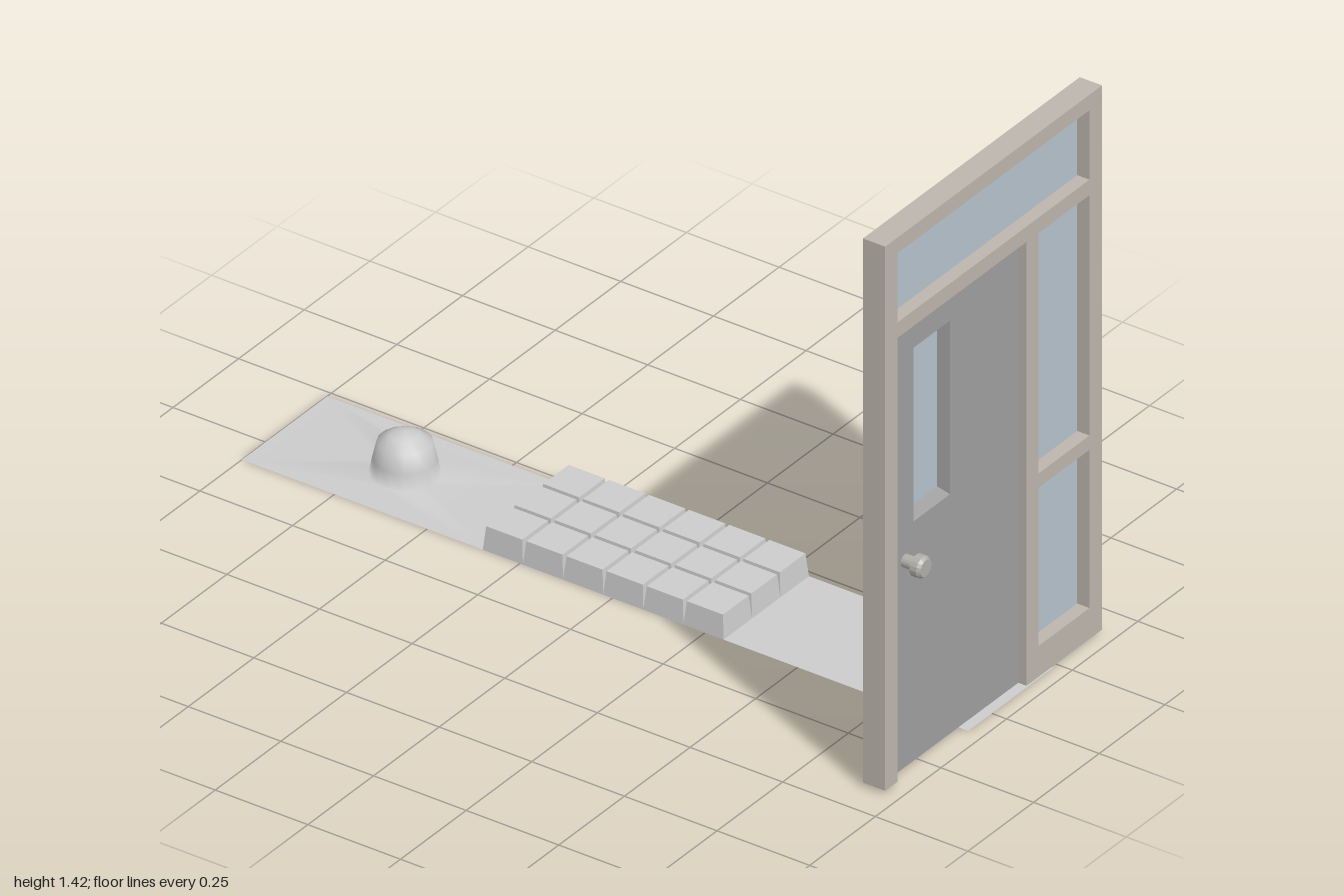
import * as THREE from 'three';

const mat = (color) => new THREE.MeshStandardMaterial({ color, side: THREE.DoubleSide });
const grey = mat(0xcccccc), frameMat = mat(0xbdb5ad), doorMat = mat(0x9e9e9e);
const glassMat = mat(0xb6c2cc), knobMat = mat(0xb0aea8);

// Corner list of a rectangle
const rect = (x0, y0, x1, y1) => [[x0, y0], [x1, y0], [x1, y1], [x0, y1]];

function add(parent, name, geometry, material) {
  const mesh = new THREE.Mesh(geometry, material);
  mesh.name = name;
  parent.add(mesh);
  return mesh;
}

// Flat sheet at depth z, with optional rectangular openings
function sheet(points, holes, z) {
  const vec = (list) => list.map(([x, y]) => new THREE.Vector2(x, y));
  const shape = new THREE.Shape(vec(points));
  for (const h of holes) shape.holes.push(new THREE.Path(vec(h)));
  return new THREE.ShapeGeometry(shape).translate(0, 0, z);
}

// Band of flat faces joining outline a at depth za to outline b at depth zb
function band(a, za, b, zb, closed) {
  const pos = [];
  const n = a.length;
  for (let i = 0; i < (closed ? n : n - 1); i++) {
    const j = (i + 1) % n;
    const p = [...a[i], za], q = [...a[j], za], r = [...b[j], zb], s = [...b[i], zb];
    pos.push(...p, ...r, ...q, ...p, ...s, ...r);
  }
  const g = new THREE.BufferGeometry();
  g.setAttribute('position', new THREE.Float32BufferAttribute(pos, 3));
  g.computeVertexNormals();
  return g;
}

const FRONT = 0.965, BACK = 0.905, DOOR = 0.943, GLASS = 0.932;
const X0 = -0.09, X1 = 0.235;

function buildDoorway() {
  const g = new THREE.Group();
  g.name = 'doorway';
  const opening = [[-0.367, 0.01], [-0.367, 1.16], [0.125, 1.16], [0.125, 0.01]];
  const outer = [[0.125, 0.01], [0.413, 0.01], [0.413, 1.42], [-0.413, 1.42], [-0.413, 0.01], [-0.367, 0.01]];
  const panes = {
    transom: rect(-0.367, 1.2, 0.365, 1.38),
    upperSidelight: rect(0.17, 0.537, 0.365, 1.16),
    lowerSidelight: rect(0.17, 0.09, 0.365, 0.5),
  };

  // Frame: front face, outer walls and door reveal, open at the back
  const outline = [...outer, ...opening.slice(1, 3)];
  add(g, 'frameFace', sheet(outline, Object.values(panes), FRONT), frameMat);
  add(g, 'frameWalls', band(outer, FRONT, outer, BACK, false), frameMat);
  add(g, 'doorReveal', band(opening, FRONT, opening, DOOR, false), frameMat);

  // Recessed glazing
  for (const [name, r] of Object.entries(panes)) {
    add(g, name + 'Reveal', band(r, FRONT, r, GLASS, true), frameMat);
    add(g, name + 'Glass', sheet(r, [], GLASS), glassMat);
  }

  // Door leaf with a tapered window recess
  const win = rect(-0.275, 0.63, -0.135, 1.08);
  const pane = rect(-0.267, 0.643, -0.141, 1.066);
  add(g, 'door', sheet(opening, [win], DOOR), doorMat);
  add(g, 'doorWindowReveal', band(win, DOOR, pane, 0.912, true), doorMat);
  add(g, 'doorWindowGlass', sheet(pane, [], 0.912), glassMat);

  // Knob, turned about the z axis
  const profile = [[0.016, 0], [0.016, 0.026], [0.027, 0.031], [0.027, 0.049], [0.021, 0.057], [0, 0.057]]
    .map(([r, h]) => new THREE.Vector2(r, h));
  const knob = new THREE.LatheGeometry(profile, 16).toNonIndexed();
  knob.computeVertexNormals();
  add(g, 'doorKnob', knob.rotateX(Math.PI / 2).translate(-0.307, 0.546, DOOR), knobMat);
  return g;
}

// Tapered blocks in a 3 by 6 grid, open underneath
function buildBlocks() {
  const g = new THREE.Group();
  g.name = 'blocks';
  const w = (X1 - X0) / 3, d = 0.65 / 6, h = 0.06;
  const block = new THREE.BoxGeometry(w, h, d).translate(0, h / 2, 0);
  const p = block.attributes.position;
  for (let i = 0; i < p.count; i++) {
    if (p.getY(i) > 0.01) p.setXYZ(i, p.getX(i) * 0.9, h, p.getZ(i) * 0.9);
  }
  block.setIndex([...block.index.array].filter((_, i) => i < 18 || i >= 24));
  block.clearGroups();
  block.computeVertexNormals();
  for (let c = 0; c < 3; c++) {
    for (let r = 0; r < 6; r++) {
      add(g, 'block', block, grey).position.set(X0 + w * (c + 0.5), 0, -0.35 + d * (r + 0.5));
    }
  }
  return g;
}

// Rectangular ground patch rising into a smooth domed mound
function buildMound() {
  const n = 16, cx = (X0 + X1) / 2, cz = -0.675;
  const rings = [[0.08, 0], [0.073, 0.04], [0.063, 0.083], [0.034, 0.1]];
  const pos = [], idx = [];
  const corner = (a) => (Math.cos(a) > 0 ? 1 : 0) + (Math.sin(a) > 0 ? 2 : 0);
  for (let c = 0; c < 4; c++) pos.push(c & 1 ? X1 : X0, 0, c & 2 ? -0.35 : -1);
  for (const [r, y] of rings) {
    for (let i = 0; i < n; i++) {
      const a = ((i + 0.5) / n) * Math.PI * 2;
      pos.push(cx + r * Math.cos(a), y, cz + r * Math.sin(a));
    }
  }
  const apex = pos.length / 3;
  pos.push(cx, 0.11, cz);
  for (let i = 0; i < n; i++) {
    const j = (i + 1) % n;
    const c0 = corner(((i + 0.5) / n) * Math.PI * 2), c1 = corner(((j + 0.5) / n) * Math.PI * 2);
    idx.push(c0, 4 + i, 4 + j);
    if (c0 !== c1) idx.push(c0, 4 + j, c1);
    for (let k = 0; k < rings.length - 1; k++) {
      const a = 4 + k * n + i, b = 4 + k * n + j;
      idx.push(a, a + n, b + n, a, b + n, b);
    }
    const top = 4 + (rings.length - 1) * n;
    idx.push(top + i, apex, top + j);
  }
  const g = new THREE.BufferGeometry();
  g.setAttribute('position', new THREE.Float32BufferAttribute(pos, 3));
  g.setIndex(idx);
  g.computeVertexNormals();
  return g;
}

export function createModel() {
  const model = new THREE.Group();
  model.name = 'doorwayAndPath';
  model.add(buildDoorway());

  // Flat path running from under the door to the blocks
  const path = new THREE.PlaneGeometry(X1 - X0, 0.66).rotateX(-Math.PI / 2);
  add(model, 'path', path, grey).position.set((X0 + X1) / 2, 0, 0.63);
  model.add(buildBlocks());
  add(model, 'mound', buildMound(), grey);
  return model;
}
